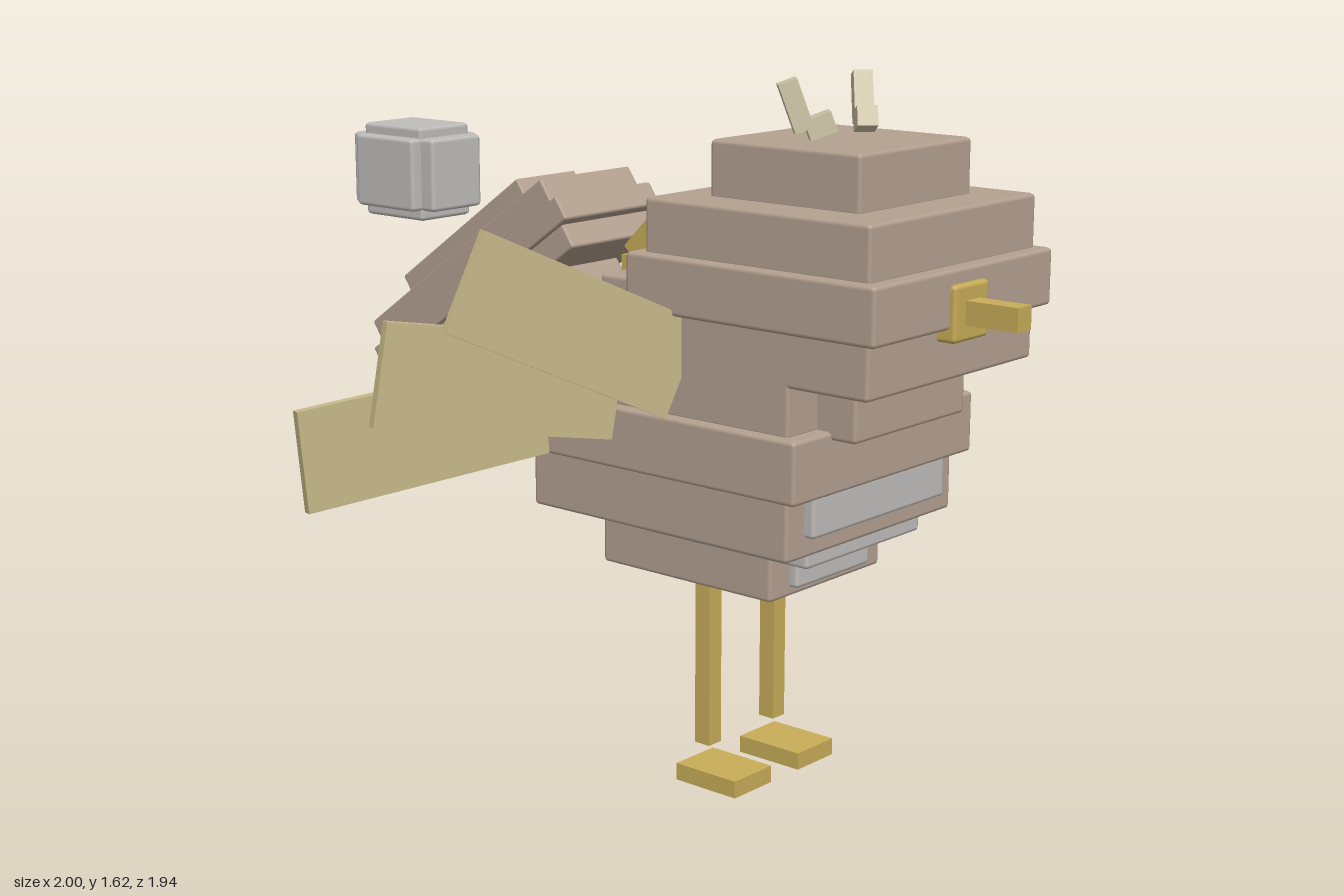
import * as THREE from 'three';
import { RoundedBoxGeometry } from 'three/addons/geometries/RoundedBoxGeometry.js';

const mat = (name, color) => {
  const m = new THREE.MeshStandardMaterial({ color });
  m.name = name;
  return m;
};

export function createModel() {
  const brown = mat('brown feathers', 0xb5a191);
  const tan = mat('wing tan', 0xc8ba8a);
  const gold = mat('gold', 0xc9ad58);
  const grey = mat('grey', 0xc0bebb);
  const cream = mat('cream tuft', 0xcfc6a8);
  const green = mat('leaf green', 0x93b06a);
  const model = new THREE.Group();

  const box = (name, size, pos, material, parent = model, bevel = 0) => {
    const g = bevel ? new RoundedBoxGeometry(...size, 1, bevel) : new THREE.BoxGeometry(...size);
    const mesh = new THREE.Mesh(g, material);
    mesh.name = name;
    mesh.position.set(...pos);
    parent.add(mesh);
    return mesh;
  };
  // Centred slab given by half width and its y and z ranges
  const slab = (name, hw, y0, y1, z0, z1, material = brown) =>
    box(name, [hw * 2, y1 - y0, z1 - z0], [0, (y0 + y1) / 2, (z0 + z1) / 2], material, model, 0.01);

  // Head layers
  slab('crown', 0.2, 1.355, 1.485, 0.297, 0.695);
  slab('upperHead', 0.3, 1.237, 1.363, 0.2, 0.797);
  slab('browBand', 0.325, 1.118, 1.245, 0.165, 0.828);
  slab('lowerHead', 0.3, 1.0, 1.125, 0.2, 0.797);
  slab('chin', 0.2, 0.878, 1.005, 0.3, 0.695);

  // Body layers
  slab('hump', 0.205, 1.0, 1.16, -0.018, 0.3);
  slab('shoulders', 0.3, 0.89, 1.027, -0.14, 0.595);
  slab('belly', 0.325, 0.757, 0.897, -0.17, 0.632);
  slab('lowerBelly', 0.3, 0.622, 0.76, -0.14, 0.595);
  slab('underside', 0.2, 0.487, 0.625, -0.018, 0.473);

  // Grey belly patches
  slab('upperPatch', 0.24, 0.667, 0.763, 0.5, 0.62, grey);
  slab('middlePatch', 0.207, 0.585, 0.63, 0.11, 0.578, grey);
  slab('lowerPatch', 0.133, 0.508, 0.595, 0.4, 0.495, grey);

  // Beak
  slab('beakBase', 0.063, 1.09, 1.213, 0.77, 0.842, gold);
  box('beakTip', [0.05, 0.052, 0.15], [0, 1.152, 0.894], gold);

  // Wings, legs and head tufts, mirrored
  const feathers = [
    [0.545, 1.12, 0.227, 25],
    [0.627, 0.997, 0.088, 10],
    [0.71, 0.88, -0.058, -5],
  ];
  for (const s of [1, -1]) {
    const side = s > 0 ? 'left' : 'right';
    const wing = new THREE.Group();
    wing.name = side + 'Wing';
    model.add(wing);
    for (const [x, y, z, deg] of feathers) {
      const f = box('wingFeather', [0.58, 0.22, 0.02], [s * x, y, z], tan, wing);
      f.rotation.set(0, s * 0.27, s * THREE.MathUtils.degToRad(deg));
    }

    box(side + 'Leg', [0.042, 0.41, 0.042], [s * 0.117, 0.29, 0.229], gold);
    box(side + 'Foot', [0.13, 0.04, 0.174], [s * 0.115, 0.02, 0.275], gold);

    const tuft = new THREE.Group();
    tuft.name = side + 'Tuft';
    tuft.position.set(s * 0.1, 1.49, 0.48);
    tuft.rotation.set(-0.35, -s * Math.PI / 4, 0, 'YXZ');
    box('tuftPost', [0.042, 0.11, 0.042], [0, 0.075, 0], cream, tuft);
    box('tuftFoot', [0.045, 0.045, 0.06], [0, 0.018, 0.035], cream, tuft);
    model.add(tuft);
  }

  // Octagonal ring on the back
  const ring = new THREE.Group();
  ring.name = 'backRing';
  ring.position.set(0, 1.12, 0.038);
  for (let i = 0; i < 8; i++) {
    const a = i * Math.PI / 4;
    const seg = box('ringSegment', [0.058, 0.052, 0.1],
      [0, 0.125 * Math.cos(a), 0.125 * Math.sin(a)], gold, ring);
    seg.rotation.x = a;
  }
  model.add(ring);

  // Tilted tail of five stacked layers
  const tail = new THREE.Group();
  tail.name = 'tail';
  tail.position.set(0, 1.067, -0.494);
  tail.rotation.x = -0.61;
  const layers = [[0.2, 0.487], [0.305, 0.715], [0.326, 0.77], [0.305, 0.715], [0.2, 0.487]];
  layers.forEach(([w, d], i) =>
    box('tailLayer', [w, 0.062, d], [0, (i - 2) * 0.06, 0], brown, tail, 0.006));
  model.add(tail);

  // Leaf under the tail
  box('leaf', [0.16, 0.042, 0.285], [0, 0.824, -0.288], green, model, 0.008).rotation.x = -0.47;

  // Floating cube of three crossed blocks
  const cube = new THREE.Group();
  cube.name = 'floatingCube';
  cube.position.set(0, 1.305, -0.826);
  box('cubeTall', [0.166, 0.23, 0.204], [0, 0, 0], grey, cube, 0.01);
  box('cubeWide', [0.226, 0.178, 0.204], [0, 0, 0], grey, cube, 0.01);
  box('cubeLong', [0.166, 0.178, 0.286], [0, 0, 0], grey, cube, 0.01);
  model.add(cube);

  return model;
}
